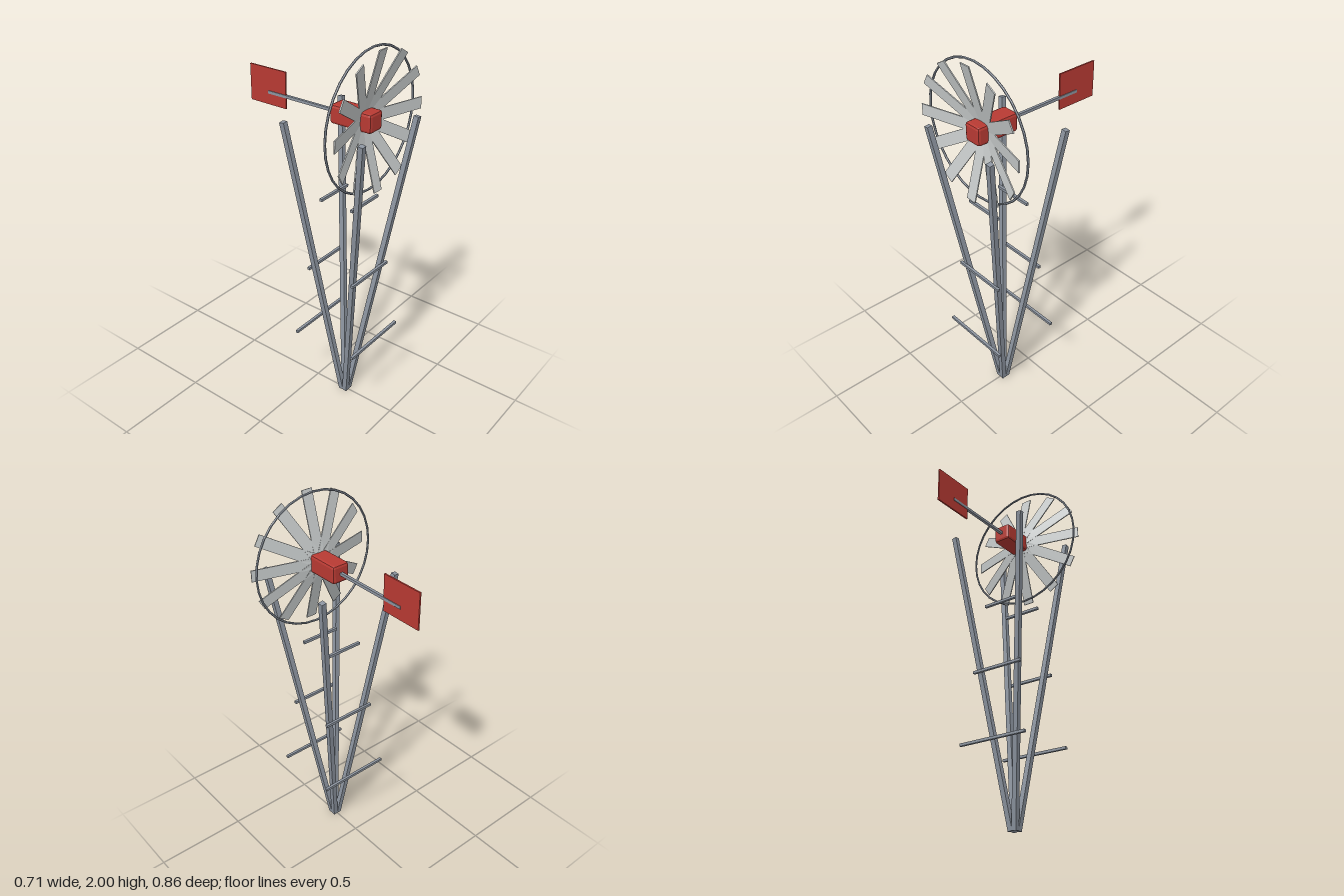
import * as THREE from 'three';
import { RoundedBoxGeometry } from 'three/addons/geometries/RoundedBoxGeometry.js';

const steel = new THREE.MeshStandardMaterial({ color: 0x8c949f, flatShading: true });
steel.name = 'steel grey';
const sheet = new THREE.MeshStandardMaterial({ color: 0xc6caca, flatShading: true });
sheet.name = 'light blade grey';
const red = new THREE.MeshStandardMaterial({ color: 0xb83a33, flatShading: true });
red.name = 'painted red';

const AXIS_Y = 1.646; // height of the rotor axis
const TOWER_Z = 0.194; // centre of the tower

function add(parent, name, geometry, material, x = 0, y = 0, z = 0) {
  const mesh = new THREE.Mesh(geometry, material);
  mesh.name = name;
  mesh.position.set(x, y, z);
  parent.add(mesh);
  return mesh;
}

// Square bar between two points
function bar(parent, name, a, b, width) {
  const dir = b.clone().sub(a);
  const mid = a.clone().add(b).multiplyScalar(0.5);
  const geometry = new THREE.BoxGeometry(width, dir.length(), width);
  const mesh = add(parent, name, geometry, steel, mid.x, mid.y, mid.z);
  mesh.quaternion.setFromUnitVectors(new THREE.Vector3(0, 1, 0), dir.normalize());
}

export function createModel() {
  const model = new THREE.Group();
  model.name = 'windmill';

  // Tower: four legs spreading upward
  const tower = new THREE.Group();
  tower.name = 'tower';
  model.add(tower);
  for (const sx of [-1, 1]) {
    for (const sz of [-1, 1]) {
      bar(tower, 'leg',
        new THREE.Vector3(sx * 0.011, 0.004, TOWER_Z + sz * 0.011),
        new THREE.Vector3(sx * 0.224, 1.627, TOWER_Z + sz * 0.224), 0.027);
    }
  }

  // Cross braces, front and back: height, half length, distance from tower centre
  for (const [y, half, dz] of [[0.426, 0.2, 0.181], [0.82, 0.152, 0.137], [1.212, 0.108, 0.093]]) {
    for (const sz of [-1, 1]) {
      add(tower, 'brace', new THREE.BoxGeometry(half * 2, 0.014, 0.015), steel, 0, y, TOWER_Z + sz * dz);
    }
  }

  // Gearbox with chamfered edges
  add(model, 'gearbox', new RoundedBoxGeometry(0.098, 0.096, 0.235, 1, 0.014), red, 0, AXIS_Y, 0.2225);

  // Rotor: twelve blades leaning forward, and a rim
  const rotor = new THREE.Group();
  rotor.name = 'rotor';
  rotor.position.set(0, AXIS_Y, 0);
  model.add(rotor);
  const bladeGeometry = new THREE.BoxGeometry(0.06, 0.358, 0.006);
  bladeGeometry.translate(0, 0.179, 0);
  bladeGeometry.rotateX(0.265);
  bladeGeometry.translate(0, 0, 0.266);
  for (let i = 0; i < 12; i++) {
    add(rotor, 'blade', bladeGeometry, sheet).rotation.z = (i * Math.PI) / 6;
  }
  add(rotor, 'rim', new THREE.TorusGeometry(0.348, 0.006, 6, 32), steel, 0, 0, 0.311);

  // Tail boom and vane
  add(model, 'tailBoom', new THREE.BoxGeometry(0.015, 0.015, 0.435), steel, 0, AXIS_Y, -0.0975);
  add(model, 'tailVane', new THREE.BoxGeometry(0.008, 0.19, 0.23), red, 0, 1.676, -0.316);

  return model;
}
